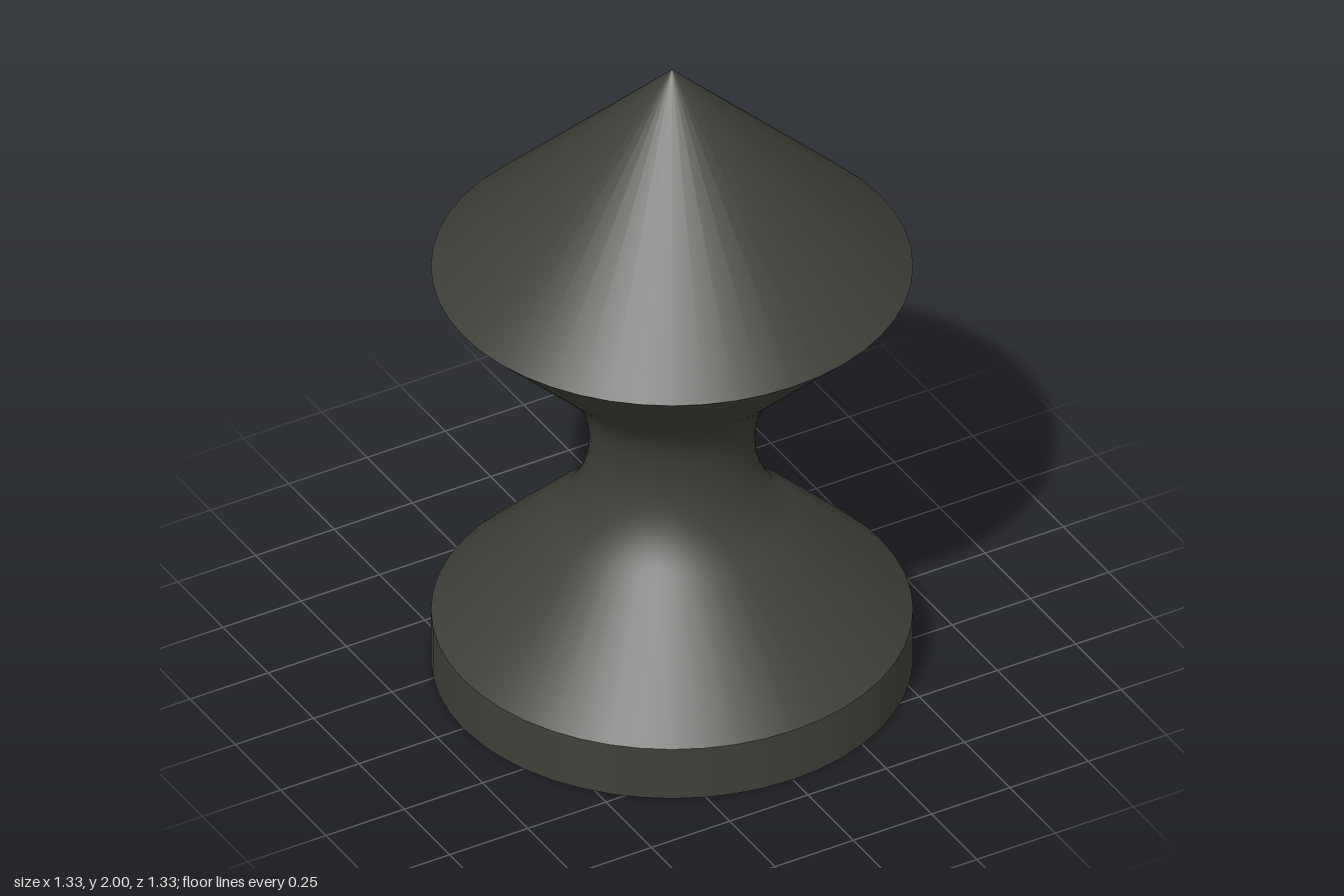
import * as THREE from 'three';

const SEGMENTS = 48;
const R = 2 / 3;

export function createModel() {
  const group = new THREE.Group();
  group.name = 'turnedFinial';
  const material = new THREE.MeshStandardMaterial({ color: 0x40403a });

  // Each smooth stretch of the profile is its own lathe, so edges between them stay sharp
  const turn = (name, profile) => {
    const points = profile.map(([r, y]) => new THREE.Vector2(r, y));
    const mesh = new THREE.Mesh(new THREE.LatheGeometry(points, SEGMENTS), material);
    mesh.name = name;
    group.add(mesh);
  };

  // Base: conical socket, flat underside and straight rim
  turn('baseSocket', [[0, 1 / 3], [1 / 3, 0]]);
  turn('baseUnderside', [[1 / 3, 0], [R, 0]]);
  turn('baseRim', [[R, 0], [R, 1 / 6]]);

  // Waist: 45 degree flares joined by a tangent quarter-circle neck
  const waist = [[R, 1 / 6]];
  const neckRadius = 0.25 * Math.SQRT2;
  const steps = 16;
  for (let i = 0; i <= steps; i++) {
    const a = (i / steps - 0.5) * Math.PI / 2;
    waist.push([1 / 3 + 0.25 - neckRadius * Math.cos(a), 0.75 + neckRadius * Math.sin(a)]);
  }
  waist.push([R, 4 / 3]);
  turn('waist', waist);

  // Pointed cap
  turn('cap', [[R, 4 / 3], [0, 2]]);

  return group;
}
